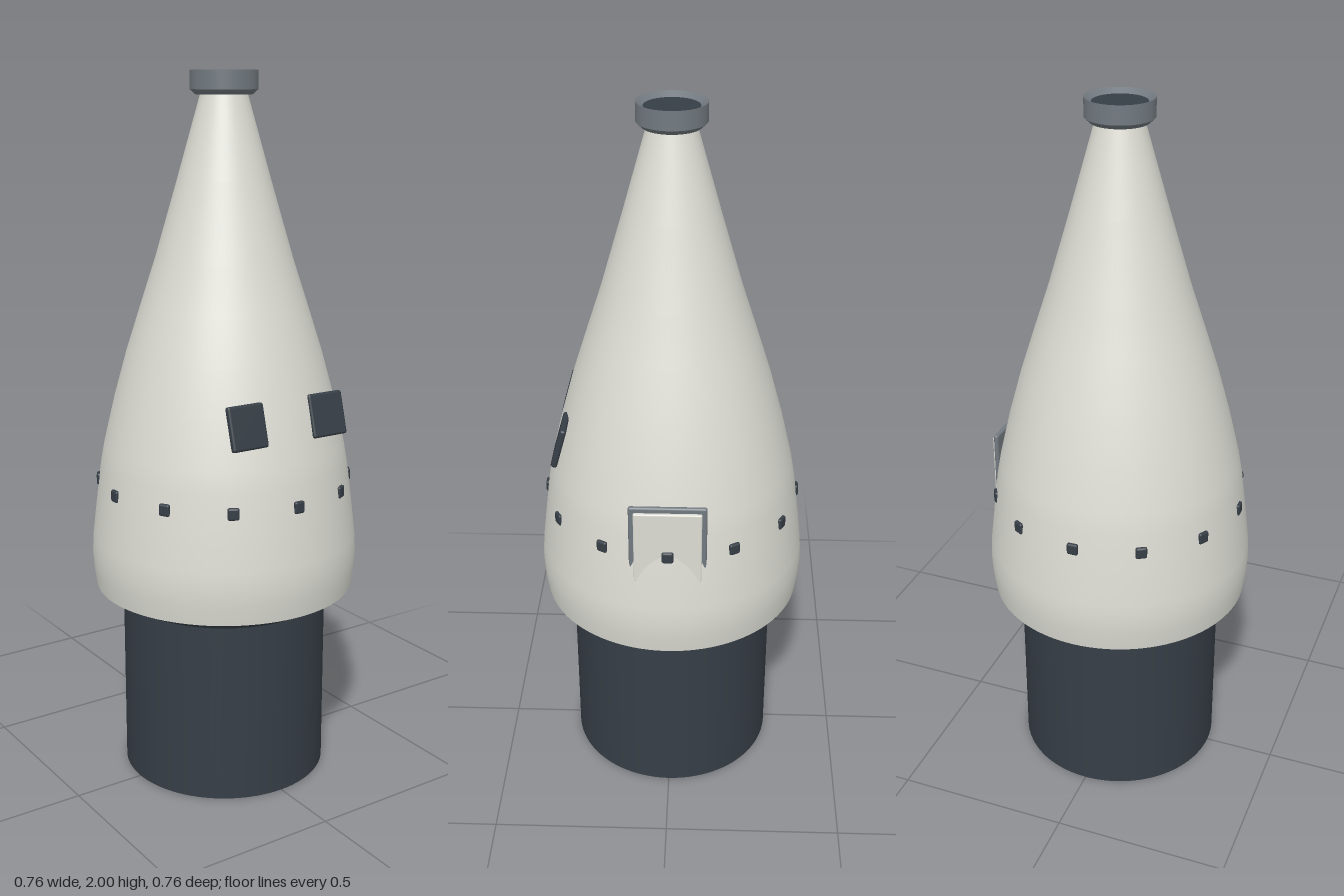
import * as THREE from 'three';
import { RoundedBoxGeometry } from 'three/addons/geometries/RoundedBoxGeometry.js';

const SEGMENTS = 96;

function material(name, color, side = THREE.FrontSide) {
  const m = new THREE.MeshStandardMaterial({ color, side });
  m.name = name;
  return m;
}

function lathe(points) {
  return new THREE.LatheGeometry(points.map(([r, y]) => new THREE.Vector2(r, y)), SEGMENTS);
}

export function createModel() {
  const group = new THREE.Group();
  const white = material('warm white', 0xdcdcd4, THREE.DoubleSide);
  const dark = material('dark slate', 0x363e46, THREE.DoubleSide);
  const grey = material('mid grey', 0x727a80, THREE.DoubleSide);

  function add(name, geometry, mat, x = 0, y = 0, z = 0, parent = group) {
    const mesh = new THREE.Mesh(geometry, mat);
    mesh.name = name;
    mesh.position.set(x, y, z);
    parent.add(mesh);
    return mesh;
  }

  // Tapered outer shell, open at the bottom
  add('shell', lathe([
    [0.372, 0.56], [0.379, 0.61], [0.382, 0.66], [0.379, 0.71], [0.367, 0.81], [0.353, 0.92],
    [0.342, 0.98], [0.311, 1.11], [0.275, 1.24], [0.235, 1.365], [0.191, 1.5], [0.128, 1.715], [0.064, 1.94],
  ]), white);

  // Base cylinder and the flare joining it to the shell
  add('baseCylinder', new THREE.CylinderGeometry(0.295, 0.295, 0.52, SEGMENTS), dark, 0, 0.26);
  add('baseFlare', lathe([[0.295, 0.52], [0.362, 0.61]]), dark);

  // Nose collar: chamfered underside, outer wall and sloping inner lip
  const collar = new THREE.Group();
  collar.name = 'noseCollar';
  group.add(collar);
  add('collarUnderside', lathe([[0.055, 1.937], [0.078, 1.937], [0.092, 1.95]]), grey, 0, 0, 0, collar);
  add('collarWall', lathe([[0.092, 1.95], [0.092, 2.0]]), grey, 0, 0, 0, collar);
  add('collarLip', lathe([[0.092, 2.0], [0.073, 1.988]]), grey, 0, 0, 0, collar);
  const cap = add('noseCap', new THREE.CircleGeometry(0.074, SEGMENTS), dark, 0, 1.988, 0, collar);
  cap.rotation.x = -Math.PI / 2;

  // Two front windows leaning back with the shell
  for (const side of [-1, 1]) {
    const pane = add(side > 0 ? 'leftWindow' : 'rightWindow',
      new RoundedBoxGeometry(0.113, 0.12, 0.018, 3, 0.007), dark, side * 0.131, 1.097, 0.303);
    pane.rotation.x = -0.27;
  }

  // Ring of small ports
  for (let i = 0; i < 12; i++) {
    const a = (i / 12) * Math.PI * 2;
    const port = add('port', new RoundedBoxGeometry(0.032, 0.034, 0.024, 2, 0.006), dark,
      Math.sin(a) * 0.354, 0.87, Math.cos(a) * 0.354);
    port.rotation.y = a;
  }

  // Side hatch: grey surround with a raised white door
  add('hatchFrame', new RoundedBoxGeometry(0.014, 0.25, 0.211, 3, 0.006), grey, 0.343, 0.895);
  add('hatchDoor', new RoundedBoxGeometry(0.014, 0.23, 0.184, 3, 0.004), white, 0.352, 0.89);

  return group;
}
